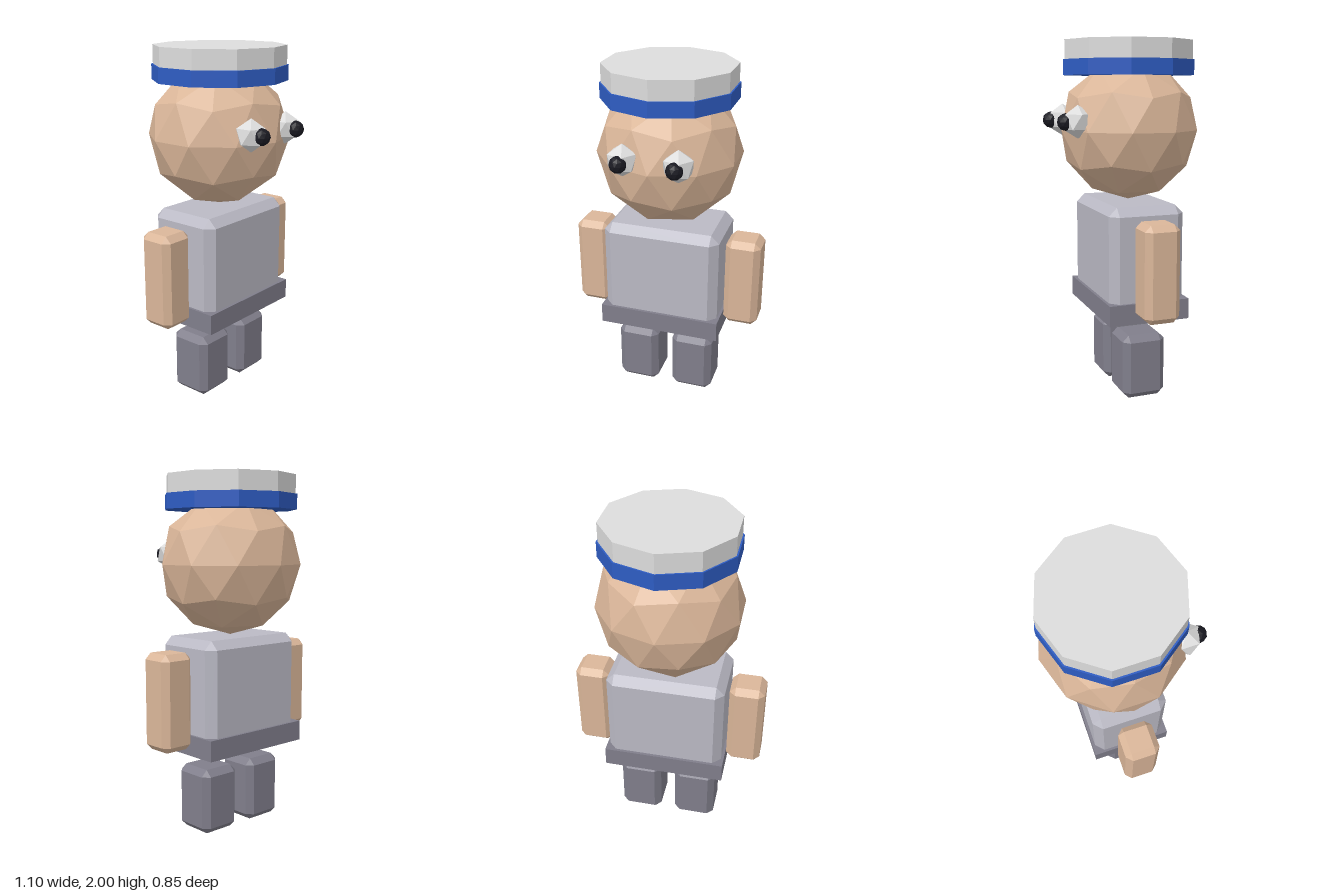
import * as THREE from 'three';
import { ConvexGeometry } from 'three/addons/geometries/ConvexGeometry.js';

const CENTER_Z = -0.028;

function material(name, color) {
  const m = new THREE.MeshStandardMaterial({ color, flatShading: true });
  m.name = name;
  return m;
}

// Box with every edge cut by a flat chamfer and triangular corners
function chamferBox(w, h, d, c) {
  const half = [w / 2, h / 2, d / 2];
  const points = [];
  for (const sx of [-1, 1]) for (const sy of [-1, 1]) for (const sz of [-1, 1]) {
    const sign = [sx, sy, sz];
    for (let axis = 0; axis < 3; axis++) {
      const p = half.map((v, i) => sign[i] * (i === axis ? v : v - c));
      points.push(new THREE.Vector3(...p));
    }
  }
  return new ConvexGeometry(points);
}

// Faceted ball with a vertex at the top and bottom poles
function facetBall(radius, detail) {
  const tilt = Math.atan(2 / (1 + Math.sqrt(5)));
  return new THREE.IcosahedronGeometry(radius, detail).rotateZ(-tilt);
}

export function createModel() {
  const model = new THREE.Group();
  model.name = 'blockFigure';

  const skin = material('skin', 0xdab699);
  const shirt = material('shirt', 0xbab9c4);
  const trousers = material('trousers', 0x807e8b);
  const white = material('white', 0xdcdcdc);
  const blue = material('blue', 0x2e5cc2);
  const black = material('black', 0x1a1a22);

  function add(name, geometry, mat, x, y, z = CENTER_Z) {
    const mesh = new THREE.Mesh(geometry, mat);
    mesh.name = name;
    mesh.position.set(x, y, z);
    model.add(mesh);
    return mesh;
  }

  // Torso and belt
  add('torso', chamferBox(0.675, 0.667, 0.434, 0.047), shirt, 0, 0.7735);
  add('belt', new THREE.BoxGeometry(0.704, 0.115, 0.467), trousers, 0, 0.5225);

  // Head, slightly wider than deep
  add('head', facetBall(1, 1).scale(0.41, 0.4, 0.394), skin, 0, 1.508, -0.032);

  // Ten-sided cap: blue band with white crown
  add('capBand', new THREE.CylinderGeometry(0.378, 0.378, 0.085, 10), blue, 0, 1.8525, -0.03);
  add('capCrown', new THREE.CylinderGeometry(0.369, 0.369, 0.105, 10), white, 0, 1.9475, -0.03);

  // Paired parts
  for (const [side, s] of [['left', 1], ['right', -1]]) {
    add(side + 'Arm', chamferBox(0.2, 0.533, 0.2, 0.034), skin, s * 0.452, 0.777);
    add(side + 'Leg', chamferBox(0.248, 0.37, 0.25, 0.036), trousers, s * 0.169, 0.185);
    add(side + 'Eye', facetBall(0.09, 0), white, s * 0.152, 1.562, 0.313);
    add(side + 'Pupil', facetBall(0.047, 1), black, s * 0.151, 1.562, 0.381);
  }

  return model;
}
